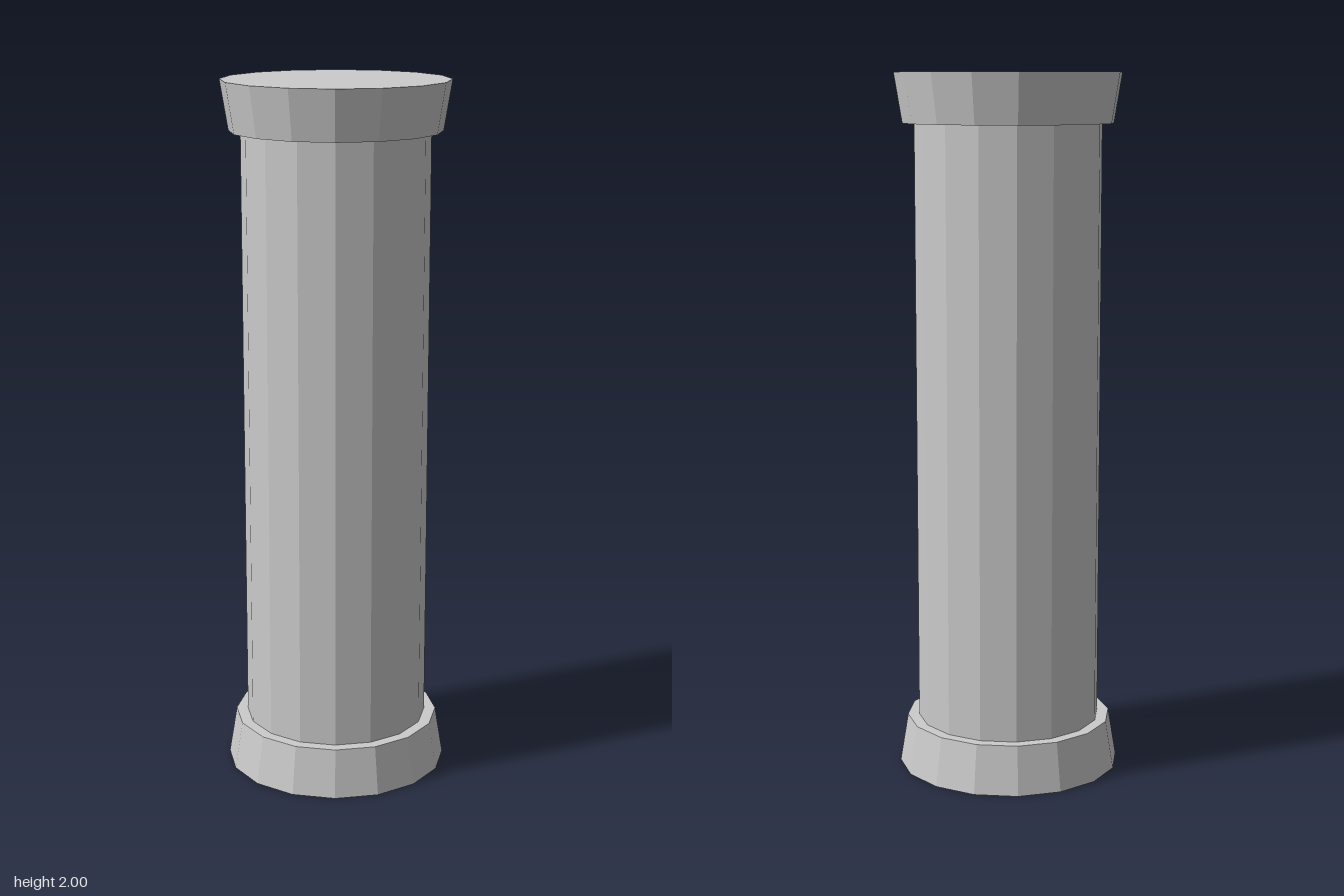
import * as THREE from 'three';

export function createModel() {
  const SIDES = 16, HEIGHT = 2, CAP_HEIGHT = 0.14;
  const group = new THREE.Group();
  group.name = 'column';
  const stone = new THREE.MeshStandardMaterial({ color: 0xcccccc, flatShading: true });

  // Faceted drum standing on the given height
  function addDrum(name, topRadius, bottomRadius, height, y, open = false) {
    const geometry = new THREE.CylinderGeometry(topRadius, bottomRadius, height, SIDES, 1, open);
    const mesh = new THREE.Mesh(geometry, stone);
    mesh.name = name;
    mesh.position.y = y + height / 2;
    group.add(mesh);
  }

  // Flared foot, plain shaft and mirrored head
  addDrum('base', 0.297, 0.32, CAP_HEIGHT, 0);
  addDrum('shaft', 0.264, 0.264, HEIGHT - 2 * CAP_HEIGHT, CAP_HEIGHT, true);
  addDrum('capital', 0.32, 0.297, CAP_HEIGHT, HEIGHT - CAP_HEIGHT);

  return group;
}
